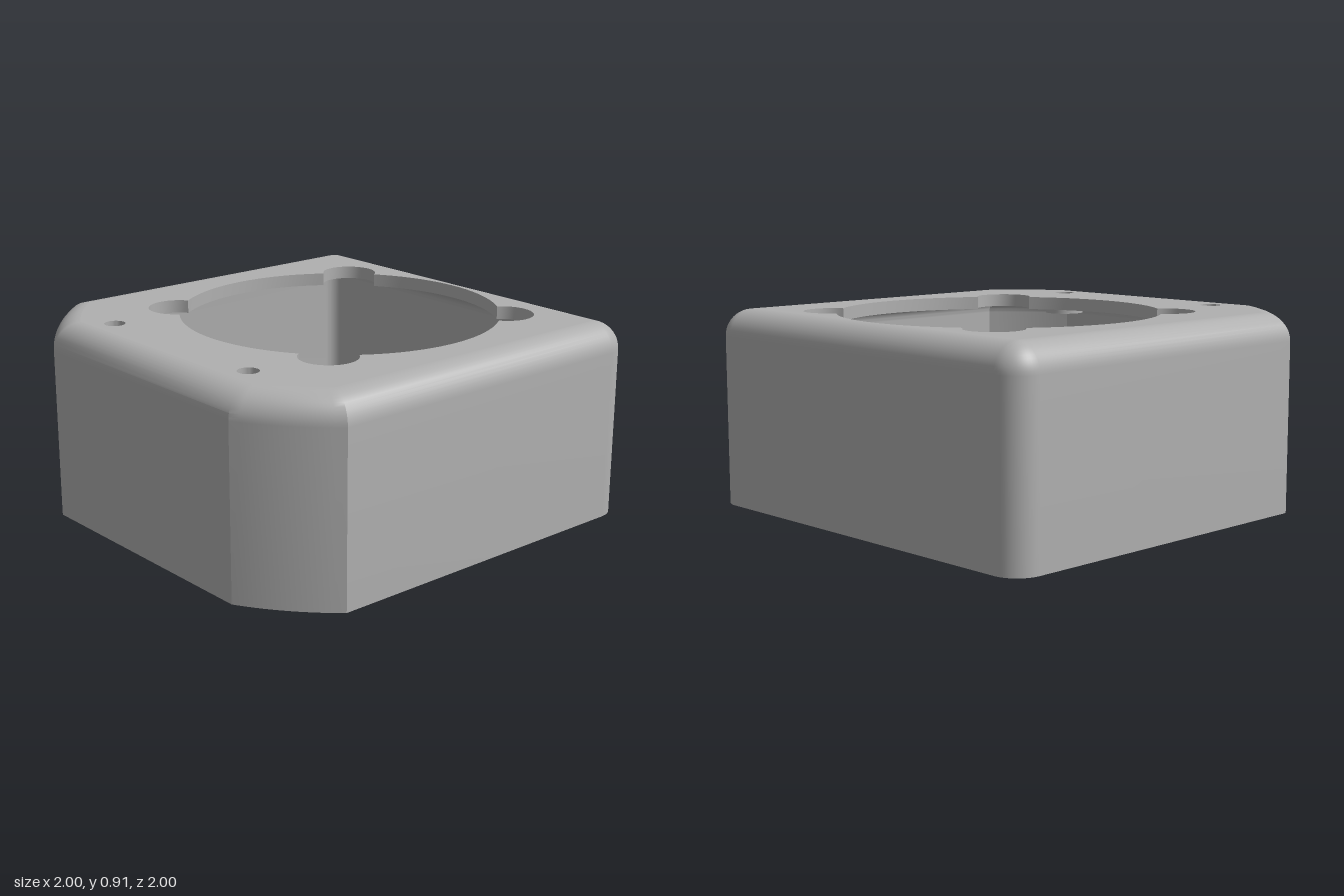
import * as THREE from 'three';
import { toCreasedNormals } from 'three/addons/utils/BufferGeometryUtils.js';

const H = 0.907;      // total height
const FILLET = 0.125; // outer edge radius
const WALL = 0.06;    // wall and lid thickness
const CX = 0.14;      // centre of the round opening
const CORNER_R = 1.306; // large arc that trims the two -x corners
const SCREWS = [[-0.775, 0.48], [-0.775, -0.48]];
const SCREW_R = 0.047, BOSS_R = 0.095, BOSS_H = 0.04;

// Points (x, z) along an arc, ends included
function arc(cx, cz, r, from, to, n) {
  return Array.from({ length: n + 1 }, (_, i) => {
    const a = from + (to - from) * i / n;
    return new THREE.Vector2(cx + r * Math.cos(a), cz + r * Math.sin(a));
  });
}

const circle = (x, z, r) => arc(x, z, r, 0, Math.PI * 2, 32).slice(0, -1);

// Case outline, inset by d
function outline(d) {
  const c = 1 - FILLET, r = FILLET - d, R = CORNER_R - d, q = Math.PI / 2;
  const a0 = Math.PI - Math.asin((1 - d) / R);
  const a1 = Math.acos((-1 + d - CX) / R);
  return [
    ...arc(c, -c, r, -q, 0, 12),
    ...arc(c, c, r, 0, q, 12),
    ...arc(CX, 0, R, a0, a1, 10),
    ...arc(CX, 0, R, -a1, -a0, 10),
  ];
}

// Round opening with four corner lobes
function opening() {
  const R = 0.735, r = 0.131, D = 0.756;
  const a = (R * R - r * r + D * D) / (2 * D);
  const beta = Math.acos(a / R), gamma = Math.acos((a - D) / r);
  const pts = [];
  for (let i = 0; i < 4; i++) {
    const t = Math.PI / 4 + i * Math.PI / 2;
    pts.push(...arc(CX + D * Math.cos(t), D * Math.sin(t), r, t - gamma, t + gamma, 24).slice(0, -1));
    pts.push(...arc(CX, 0, R, t + beta, t + Math.PI / 2 - beta, 20).slice(0, -1));
  }
  return pts;
}

// Skin through closed rings [points, y] with equal point counts
function skin(rings) {
  const n = rings[0][0].length, pos = [], idx = [];
  for (const [pts, y] of rings) for (const p of pts) pos.push(p.x, y, p.y);
  for (let k = 0; k < rings.length - 1; k++) {
    for (let i = 0; i < n; i++) {
      const j = (i + 1) % n, a = k * n + i, b = k * n + j;
      idx.push(a, a + n, b, b, a + n, b + n);
    }
  }
  const g = new THREE.BufferGeometry();
  g.setAttribute('position', new THREE.Float32BufferAttribute(pos, 3));
  g.setIndex(idx);
  return toCreasedNormals(g, Math.PI / 6);
}

// Flat sheet with holes, facing up or down
function sheet(holes, y, up) {
  const s = new THREE.Shape(outline(FILLET));
  s.holes = holes.map((h) => new THREE.Path(h));
  return new THREE.ShapeGeometry(s).rotateX(up ? -Math.PI / 2 : Math.PI / 2).translate(0, y, 0);
}

// Rings of a quarter-round top edge from inset d up to the lid at height top
function edgeRings(d, top) {
  const r = FILLET - d, n = 12;
  return Array.from({ length: n + 1 }, (_, i) => {
    const a = i / n * Math.PI / 2;
    return [outline(d + r * (1 - Math.cos(a))), top - r + r * Math.sin(a)];
  });
}

export function createModel() {
  const grey = new THREE.MeshStandardMaterial({ color: 0xb0b0b0 });
  grey.name = 'grey';
  const model = new THREE.Group();
  model.name = 'housing';
  const add = (name, geometry) => {
    const m = new THREE.Mesh(geometry, grey);
    m.name = name;
    model.add(m);
  };

  // Walls: inside face, bottom rim, outside face, rounded top edges
  const under = H - WALL;
  add('walls', skin([
    ...edgeRings(WALL, under).reverse(),
    [outline(WALL), 0],
    [outline(0), 0],
    ...edgeRings(0, H),
  ]));

  // Lid
  const hole = opening();
  const screwHoles = (r) => SCREWS.map(([x, z]) => circle(x, z, r));
  add('lidTop', sheet([hole, ...screwHoles(SCREW_R)], H, true));
  add('lidUnderside', sheet([hole, ...screwHoles(BOSS_R)], under, false));
  add('openingEdge', skin([[hole, H], [hole, under]]));

  // Screw holes with bosses under the lid
  for (const [x, z] of SCREWS) {
    const inner = circle(x, z, SCREW_R), outer = circle(x, z, BOSS_R);
    add('screwBoss', skin([
      [inner, H], [inner, under - BOSS_H], [outer, under - BOSS_H], [outer, under],
    ]));
  }
  return model;
}
